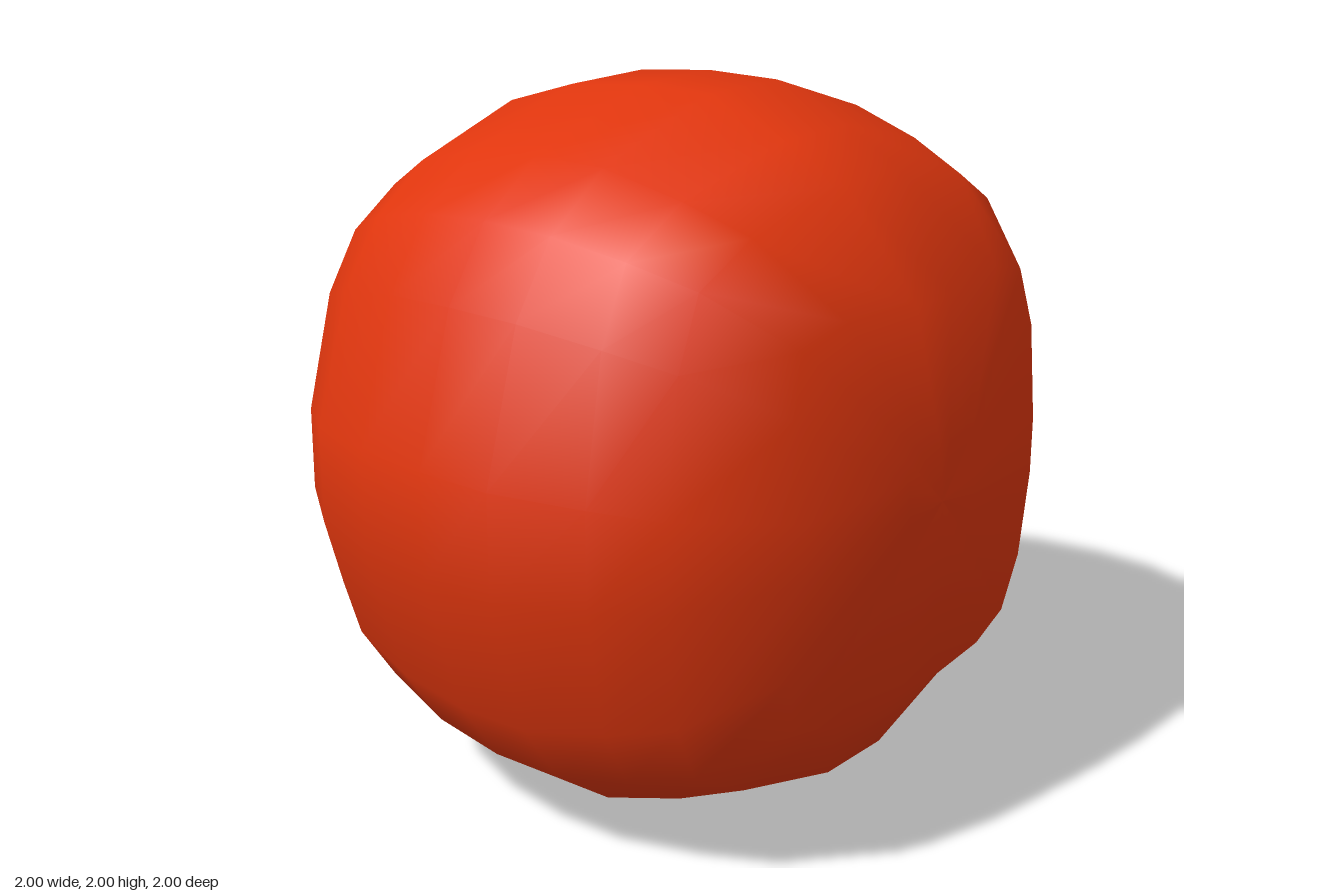
import * as THREE from 'three';

const RED = new THREE.MeshStandardMaterial({ color: 0xe0360e });
const GREEN = new THREE.MeshStandardMaterial({ color: 0x0c6b30, side: THREE.DoubleSide });

// Surface from equal-length rows of points; wrap joins the last column to the first
function loft(rows, wrap) {
  const n = rows[0].length, index = [];
  for (let i = 0; i < rows.length - 1; i++) {
    for (let j = 0; j < (wrap ? n : n - 1); j++) {
      const k = (j + 1) % n;
      const a = i * n + j, b = a + n, c = (i + 1) * n + k, d = i * n + k;
      index.push(a, b, c, a, c, d);
    }
  }
  const geometry = new THREE.BufferGeometry();
  geometry.setAttribute('position', new THREE.Float32BufferAttribute(rows.flat(2), 3));
  geometry.setIndex(index);
  geometry.computeVertexNormals();
  return geometry;
}

// Fruit body: rings from front to back, rounder-cornered than a circle.
// Each ring: z and reach on the axes, then z and radius on the diagonals.
const RINGS = [
  [1.0, 0, 1.0, 0],
  [1.0, 0.15, 0.99, 0.21],
  [0.95, 0.53, 0.9, 0.71],
  [0.75, 0.82, 0.7, 0.91],
  [0.57, 0.91, 0.52, 0.985],
  [0.33, 1.0, 0.31, 1.04],
  [0.1, 1.0, 0.09, 1.045],
  [-0.14, 0.975, -0.14, 1.015],
  [-0.38, 0.9, -0.37, 0.945],
  [-0.56, 0.77, -0.55, 0.83],
  [-0.77, 0.51, -0.74, 0.59],
  [-0.81, 0.33, -0.81, 0.36],
  [-0.805, 0.16, -0.805, 0.17],
  [-0.78, 0, -0.78, 0],
];

function bodyGeometry() {
  const steps = [[8.5, 0], [32, 0.6], [45, 1], [58, 0.6], [81.5, 0]];
  const rows = RINGS.map(([z0, reach, z1, r1]) => {
    const r0 = reach / Math.cos(THREE.MathUtils.degToRad(8.5));
    const row = [];
    for (let q = 0; q < 4; q++) {
      for (const [deg, t] of steps) {
        const a = THREE.MathUtils.degToRad(deg + q * 90);
        const r = r0 + (r1 - r0) * t;
        row.push([r * Math.cos(a), r * Math.sin(a), z0 + (z1 - z0) * t]);
      }
    }
    return row;
  });
  return loft(rows, true);
}

// Leaf along +y, arching away from the fruit and folded along its midrib.
// Stations: part of the length, part of the half width, height off the fruit.
const STATIONS = [[0, 0.08, 0.01], [0.25, 0.65, 0.025], [0.5, 1, 0.035], [0.75, 0.8, 0.035], [0.9, 0.42, 0.02], [1, 0, 0]];

function leafGeometry(length, halfWidth, droop) {
  const rows = STATIONS.map(([t, w, h]) =>
    [-1, -0.5, 0, 0.5, 1].map((s) =>
      [s * w * halfWidth, t * length, -h - droop * t + 0.012 * w * (1 - Math.abs(s))]));
  return loft(rows, false);
}

export function createModel() {
  const group = new THREE.Group();
  const add = (name, geometry, material) => {
    const mesh = new THREE.Mesh(geometry, material);
    mesh.name = name;
    group.add(mesh);
    return mesh;
  };

  add('fruitBody', bodyGeometry(), RED).position.y = 1;

  // Three leaves around the stem: tip x, tip y, half width, droop
  const leaves = [
    ['upperLeaf', 0.03, 0.45, 0.13, 0],
    ['rightLeaf', -0.42, -0.23, 0.13, 0],
    ['leftLeaf', 0.32, -0.2, 0.145, 0.015],
  ];
  for (const [name, x, y, halfWidth, droop] of leaves) {
    const leaf = add(name, leafGeometry(Math.hypot(x, y), halfWidth, droop), GREEN);
    leaf.position.set(0, 1.01, -0.812);
    leaf.rotation.z = Math.atan2(-x, y);
  }

  // Stem, slightly thicker at the cut end
  const stem = add('stem', new THREE.CylinderGeometry(0.014, 0.018, 0.22, 8), GREEN);
  stem.rotation.x = Math.PI / 2;
  stem.position.set(0, 1.01, -0.88);
  const tip = add('stemEnd', new THREE.CylinderGeometry(0.019, 0.016, 0.02, 8), GREEN);
  tip.rotation.x = -Math.PI / 2;
  tip.position.set(0, 1.01, -0.99);

  return group;
}
